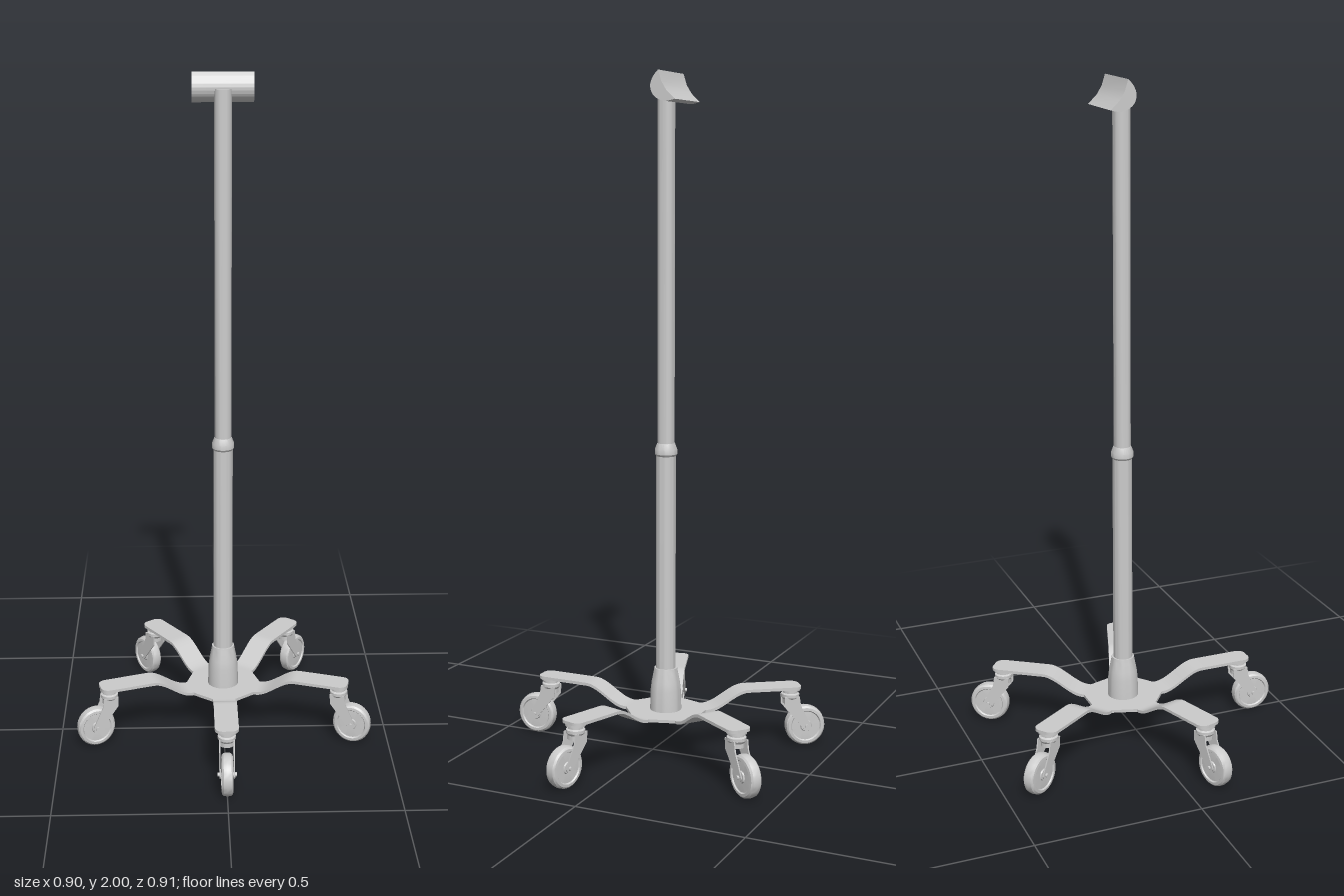
import * as THREE from 'three';
import { toCreasedNormals } from 'three/addons/utils/BufferGeometryUtils.js';

const material = new THREE.MeshStandardMaterial({ color: 0xcccccc, side: THREE.DoubleSide });
const CENTRE_Z = -0.043;
const ARMS = 5;
const HALF_WIDTH = 0.037;
const ARM_START = 0.115, ARM_END = 0.42;
const STEM_R = 0.39, WHEEL_R = 0.437, WHEEL_RADIUS = 0.062;

function add(parent, name, geometry, x = 0, y = 0, z = 0) {
  const mesh = new THREE.Mesh(geometry, material);
  mesh.name = name;
  mesh.position.set(x, y, z);
  parent.add(mesh);
  return mesh;
}

function lathe(points, segments = 32) {
  const pts = points.map(([r, y]) => new THREE.Vector2(r, y));
  return toCreasedNormals(new THREE.LatheGeometry(pts, segments), 0.5);
}

// Extrudes a (z, y) side profile across x, centred on x = 0
function sideExtrude(shape, width) {
  const g = new THREE.ExtrudeGeometry(shape, { depth: width, bevelEnabled: false, curveSegments: 12 });
  g.rotateY(-Math.PI / 2);
  g.translate(width / 2, 0, 0);
  return toCreasedNormals(g, 0.5);
}

// Flat strip that sweeps up from the hub and ends in rounded corners
function armGeometry() {
  const stations = [];
  for (let i = 0; i <= 16; i++) stations.push(ARM_START + (0.26 - ARM_START) * i / 16);
  const corner = 0.024;
  for (let i = 0; i <= 8; i++) {
    stations.push(ARM_END - corner + corner * Math.sin(i / 8 * Math.PI / 2));
  }
  const n = stations.length - 1;
  const g = new THREE.BoxGeometry(2, 0.009, 1, 1, 1, n);
  const p = g.attributes.position;
  for (let i = 0; i < p.count; i++) {
    const r = stations[Math.round((p.getZ(i) + 0.5) * n)];
    const over = Math.max(0, r - (ARM_END - corner));
    const half = HALF_WIDTH - corner + Math.sqrt(Math.max(0, corner * corner - over * over));
    const lift = 0.055 * THREE.MathUtils.smoothstep(r, 0.12, 0.25);
    p.setXYZ(i, p.getX(i) * half, p.getY(i) + 0.13 + lift, r);
  }
  g.computeVertexNormals();
  return g;
}

// Ten-sided hub plate whose long edges meet the arms
function hubGeometry() {
  const pts = [];
  for (let i = 0; i < ARMS; i++) {
    const a = i * Math.PI * 2 / ARMS;
    for (const s of [-1, 1]) {
      pts.push(new THREE.Vector2(
        Math.sin(a) * ARM_START + Math.cos(a) * HALF_WIDTH * s,
        -Math.cos(a) * ARM_START + Math.sin(a) * HALF_WIDTH * s));
    }
  }
  const g = new THREE.ExtrudeGeometry(new THREE.Shape(pts), { depth: 0.009, bevelEnabled: false });
  g.rotateX(-Math.PI / 2);
  g.translate(0, 0.1255, 0);
  return g;
}

function makeCaster() {
  const caster = new THREE.Group();
  caster.name = 'caster';

  // Swivel bearing under the arm
  add(caster, 'swivelBearing', lathe([
    [0, 0.181], [0.03, 0.181], [0.03, 0.173], [0.022, 0.171], [0.022, 0.165],
    [0.028, 0.162], [0.028, 0.153], [0.023, 0.146], [0.023, 0.133], [0, 0.133],
  ], 24), 0, 0, STEM_R);

  // Fork legs slanting from the bearing to the axle
  const leg = new THREE.Shape();
  leg.moveTo(STEM_R - 0.024, 0.156);
  leg.lineTo(STEM_R - 0.022, 0.125);
  leg.lineTo(WHEEL_R - 0.013, 0.058);
  leg.absarc(WHEEL_R, WHEEL_RADIUS, 0.013, Math.PI * 1.1, Math.PI * 2.1, false);
  leg.lineTo(STEM_R + 0.028, 0.128);
  leg.lineTo(STEM_R + 0.024, 0.156);
  const legGeometry = sideExtrude(leg, 0.004);
  for (const side of [-1, 1]) add(caster, 'forkLeg', legGeometry, side * 0.022);

  // Wheel with a crowned tread and recessed sides
  const w = lathe([
    [0, -0.018], [0.016, -0.018], [0.018, -0.014], [0.044, -0.014], [0.047, -0.018], [0.055, -0.017],
    [0.06, -0.012], [WHEEL_RADIUS, 0], [0.06, 0.012], [0.055, 0.017], [0.047, 0.018],
    [0.044, 0.014], [0.018, 0.014], [0.016, 0.018], [0, 0.018],
  ], 36);
  w.rotateZ(Math.PI / 2);
  add(caster, 'wheel', w, 0, WHEEL_RADIUS, WHEEL_R);

  const axle = new THREE.CylinderGeometry(0.006, 0.006, 0.06, 12);
  axle.rotateZ(Math.PI / 2);
  add(caster, 'axle', axle, 0, WHEEL_RADIUS, WHEEL_R);
  return caster;
}

export function createModel() {
  const model = new THREE.Group();
  model.name = 'rollingStand';

  // Five-armed base, slightly narrowed across x
  const base = new THREE.Group();
  base.name = 'base';
  base.position.z = CENTRE_Z;
  base.scale.x = 0.94;
  model.add(base);
  add(base, 'hubPlate', hubGeometry());
  const arm = armGeometry();
  for (let i = 0; i < ARMS; i++) {
    const leg = new THREE.Group();
    leg.name = 'baseLeg';
    leg.rotation.y = i * Math.PI * 2 / ARMS;
    add(leg, 'arm', arm);
    leg.add(makeCaster());
    base.add(leg);
  }

  // Telescopic column
  add(model, 'columnSocket', lathe([
    [0, 0.126], [0.047, 0.126], [0.045, 0.195], [0.042, 0.22], [0.036, 0.25], [0.034, 0.262], [0, 0.262],
  ]), 0, 0, CENTRE_Z);
  add(model, 'lowerTube', lathe([[0, 0.2], [0.029, 0.2], [0.029, 0.915], [0, 0.915]]), 0, 0, CENTRE_Z);
  add(model, 'tubeCollar', lathe([
    [0.029, 0.9], [0.033, 0.906], [0.033, 0.92], [0.026, 0.938], [0.024, 0.938],
  ]), 0, 0, CENTRE_Z);
  add(model, 'upperTube', lathe([[0, 0.9], [0.025, 0.9], [0.025, 1.955], [0, 1.955]]), 0, 0, CENTRE_Z);

  // Tilted cradle: round underside, shallow trough on top
  const cradle = new THREE.Shape();
  cradle.moveTo(-0.057, 2.0);
  cradle.splineThru([
    [-0.042, 1.983], [-0.033, 1.96], [-0.038, 1.937], [-0.055, 1.921], [-0.08, 1.914], [-0.108, 1.919],
  ].map(([z, y]) => new THREE.Vector2(z, y)));
  cradle.lineTo(-0.082, 1.944);
  cradle.lineTo(-0.067, 1.968);
  cradle.closePath();
  add(model, 'topCradle', sideExtrude(cradle, 0.175));

  return model;
}
